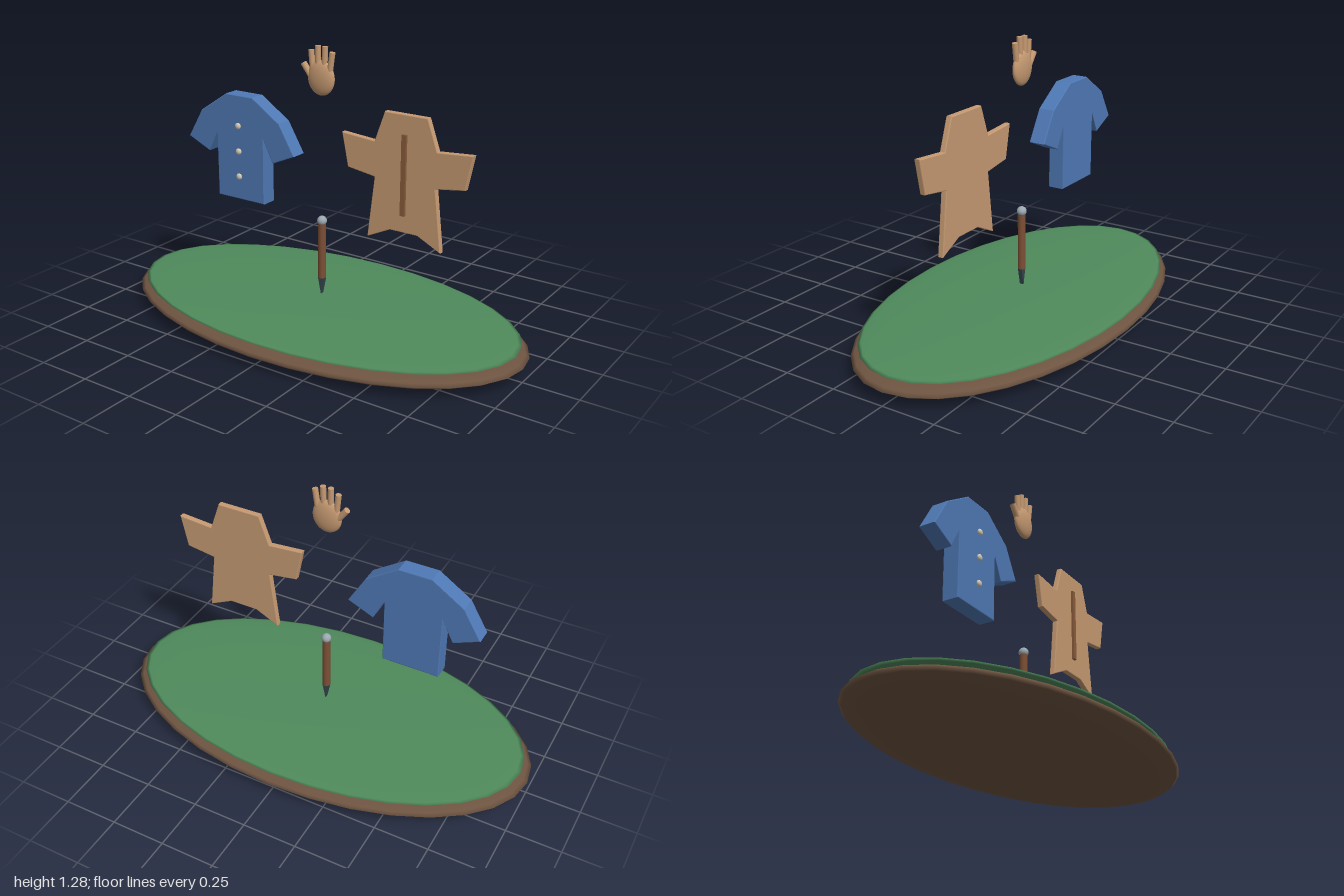
import * as THREE from 'three';

const mat = (color) => new THREE.MeshStandardMaterial({ color });
const blue = mat(0x4f79b5), tan = mat(0xc69a72), seam = mat(0x8a5c3c), wood = mat(0x7d4f35);
const green = mat(0x4f8a5b), earth = mat(0x6e5441), steel = mat(0x9aa8b0), flint = mat(0x34444c), bone = mat(0xd3cbb6);

function add(parent, name, geometry, material, x = 0, y = 0, z = 0) {
  const mesh = new THREE.Mesh(geometry, material);
  mesh.name = name;
  mesh.position.set(x, y, z);
  parent.add(mesh);
  return mesh;
}

const ellipsoid = (rx, ry, rz, w = 24, h = 16) => new THREE.SphereGeometry(1, w, h).scale(rx, ry, rz);

// Flat outline with thickness centred on z = 0; the bevel stays inside the outline
function slab(points, depth, bevel) {
  const shape = new THREE.Shape(points.map(([x, y]) => new THREE.Vector2(x, y)));
  const geometry = new THREE.ExtrudeGeometry(shape, {
    depth: depth - 2 * bevel, bevelThickness: bevel, bevelSize: bevel, bevelOffset: -bevel, bevelSegments: 2,
  });
  return geometry.translate(0, 0, bevel - depth / 2);
}

// Complete a right-half outline (top to bottom) by mirroring it
const mirrored = (half) => [...half, ...half.map(([x, y]) => [-x, y]).reverse()];

// Cylinder running from a to b
function rod(parent, name, a, b, rA, rB, material) {
  const from = new THREE.Vector3(...a), dir = new THREE.Vector3(...b).sub(from);
  const mesh = add(parent, name, new THREE.CylinderGeometry(rB, rA, dir.length(), 12), material);
  mesh.position.copy(from).addScaledVector(dir, 0.5);
  mesh.quaternion.setFromUnitVectors(new THREE.Vector3(0, 1, 0), dir.normalize());
  return mesh;
}

function part(parent, name, x = 0) {
  const group = new THREE.Group();
  group.name = name;
  group.position.x = x;
  parent.add(group);
  return group;
}

export function createModel() {
  const model = new THREE.Group();
  model.name = 'islandDisplay';

  // Oval ground
  const ground = part(model, 'ground');
  add(ground, 'earthBase', ellipsoid(1, 0.06, 0.545, 32, 16), earth, 0, 0.06);
  add(ground, 'grassTop', ellipsoid(0.965, 0.02, 0.52, 32, 16), green, 0, 0.105);

  // Shirt with three buttons
  const shirt = part(model, 'shirt', -0.427);
  add(shirt, 'shirtBody', slab(mirrored([
    [0.075, 1.015], [0.222, 0.918], [0.303, 0.78], [0.183, 0.727], [0.132, 0.83], [0.132, 0.522],
  ]), 0.077, 0.004), blue);
  for (const y of [0.876, 0.756, 0.636]) add(shirt, 'button', ellipsoid(0.015, 0.015, 0.009), bone, 0, y, 0.05);

  // Hide with a raised centre strip
  const hide = part(model, 'hide', 0.425);
  add(hide, 'hideBody', slab(mirrored([
    [0.102, 1.052], [0.15, 0.917], [0.313, 0.93], [0.282, 0.778], [0.147, 0.758], [0.179, 0.482], [0.067, 0.536],
  ]), 0.027, 0.004), tan);
  add(hide, 'centreStrip', new THREE.BoxGeometry(0.022, 0.354, 0.024), seam, -0.002, 0.791, 0.013);

  // Open hand
  const hand = part(model, 'hand', -0.004);
  add(hand, 'palm', ellipsoid(0.068, 0.077, 0.024), tan, 0, 1.145);
  for (const [base, tip, top] of [[-0.042, -0.052, 1.262], [-0.015, -0.017, 1.283], [0.015, 0.02, 1.283], [0.042, 0.057, 1.262]]) {
    rod(hand, 'finger', [base, 1.16, 0], [tip, top, 0], 0.013, 0.013, tan);
  }
  rod(hand, 'thumb', [-0.035, 1.125, 0], [-0.092, 1.2, 0], 0.014, 0.014, tan);

  // Upright tool: shaft, rounded cap and wedge point
  const tool = part(model, 'tool');
  add(tool, 'shaft', new THREE.CylinderGeometry(0.018, 0.018, 0.262, 16), wood, 0, 0.354);
  add(tool, 'cap', ellipsoid(0.022, 0.022, 0.022), steel, 0, 0.497);
  add(tool, 'point', slab([[-0.017, 0.225], [0, 0.145], [0.017, 0.225]], 0.021, 0.002), flint);

  return model;
}
